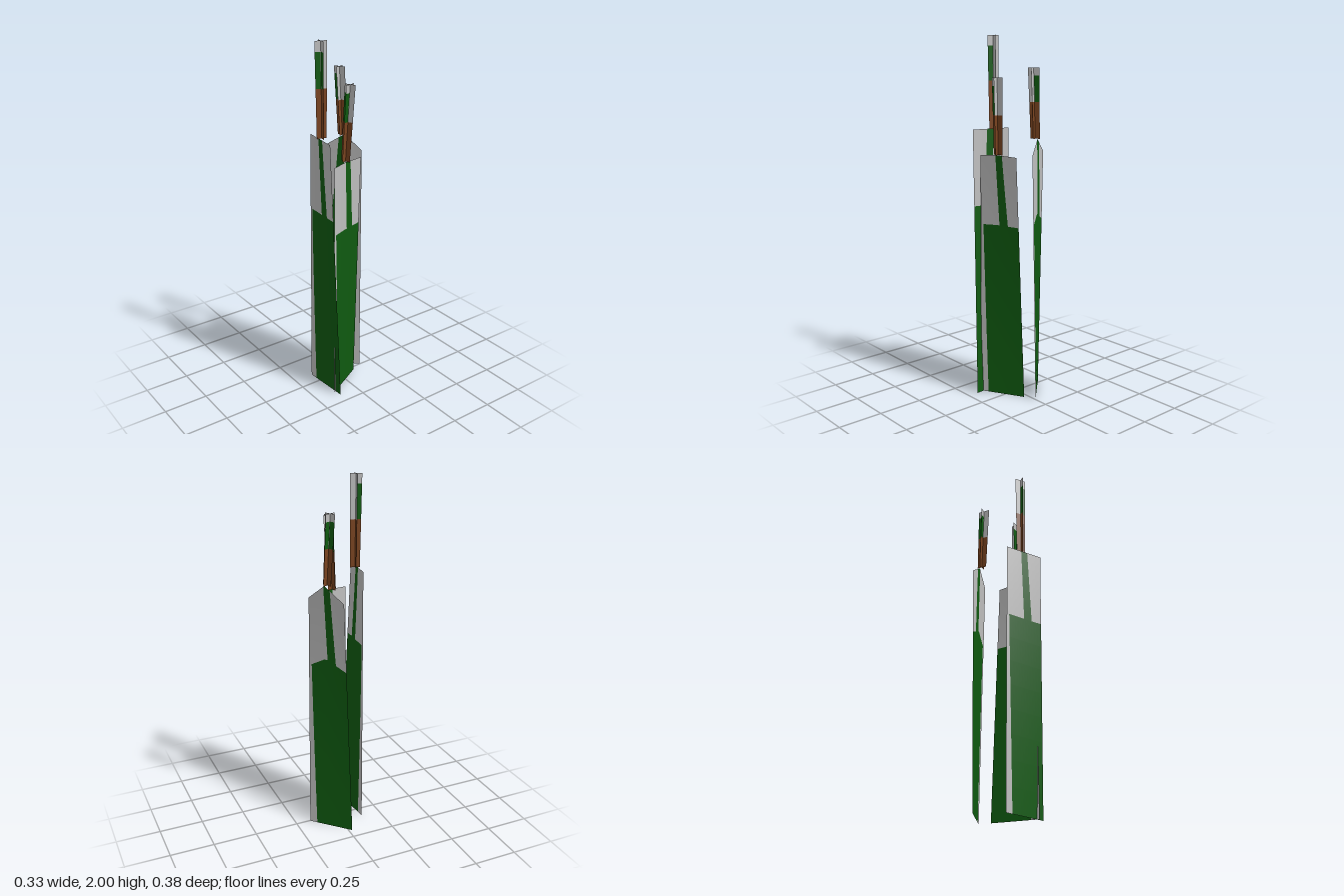
import * as THREE from 'three';

const flat = (name, color) => {
  const m = new THREE.MeshStandardMaterial({ color, side: THREE.DoubleSide });
  m.name = name;
  return m;
};

// Patch of a card surface between two edge curves tA(v) and tB(v), for v in [v0, v1]
function patch(surface, tA, tB, v0, v1, nt = 6, nv = 8) {
  const pos = [], idx = [];
  for (let j = 0; j <= nv; j++) {
    const v = v0 + (v1 - v0) * j / nv;
    for (let i = 0; i <= nt; i++) {
      const t = tA(v) + (tB(v) - tA(v)) * i / nt;
      pos.push(...surface(t, v));
      if (i < nt && j < nv) {
        const a = j * (nt + 1) + i, b = a + nt + 1;
        idx.push(a, a + 1, b + 1, a, b + 1, b);
      }
    }
  }
  const g = new THREE.BufferGeometry();
  g.setAttribute('position', new THREE.Float32BufferAttribute(pos, 3));
  g.setIndex(idx);
  g.computeVertexNormals();
  return g;
}

const mix = (a, b, t) => a + (b - a) * t;
const at = (c) => () => c;
const ramp = (v0, a, v1, b) => (v) => mix(a, b, (v - v0) / (v1 - v0));

// Each reed: twisted leaf card (bottom and top edges as [x, z]) and a leaning head of two crossed cards
const REEDS = [
  { name: 'tallReed', height: 1.5, peak: 0, top: 2.0,
    low: [[-0.135, -0.077], [-0.115, 0.19]], high: [[-0.133, -0.06], [-0.165, 0.165]],
    headLow: [-0.133, 0.045], headHigh: [-0.135, 0.045], dirs: [[0.97, 0.25], [0.2, -0.98]] },
  { name: 'frontReed', height: 1.365, peak: 0.006, top: 1.78,
    low: [[-0.13, 0.15], [0.1, 0.025]], high: [[-0.125, 0.145], [0.095, 0.08]],
    headLow: [-0.025, 0.105], headHigh: [-0.01, 0.122], dirs: [[0.96, -0.28], [0.32, 0.95]] },
  { name: 'backReed', height: 1.375, peak: 0.08, top: 1.83,
    low: [[0.165, -0.002], [-0.02, -0.19]], high: [[0.15, 0.015], [0.03, -0.173]],
    headLow: [0.08, -0.068], headHigh: [0.062, -0.07], dirs: [[-0.91, 0.41], [0.42, 0.91]] },
];

export function createModel() {
  const green = flat('leafGreen', 0x0f5a10);
  const grey = flat('paleGrey', 0xbebebe);
  const brown = flat('seedBrown', 0x7a4420);
  const model = new THREE.Group();
  model.name = 'reeds';

  for (const r of REEDS) {
    const reed = new THREE.Group();
    reed.name = r.name;
    model.add(reed);
    const add = (name, mat, ...args) => {
      const m = new THREE.Mesh(patch(...args), mat);
      m.name = name;
      reed.add(m);
    };

    // Leaf card, with its top edge raised around the stem
    const leaf = (t, v) => {
      const lift = t < 0.45 ? t / 0.45 : (1 - t) / 0.55;
      const p = [0, 1].map((k) => mix(mix(r.low[0][k], r.low[1][k], t), mix(r.high[0][k], r.high[1][k], t), v));
      return [p[0], (r.height + r.peak * lift) * v, p[1]];
    };
    const S = 0.72;
    const margin = ramp(0, 0.17, S, 0.07);
    const stemA = ramp(S, 0.5, 1, 0.42), stemB = ramp(S, 0.72, 1, 0.6);
    add('leafMargin', grey, leaf, at(0), margin, 0, S);
    add('leafBlade', green, leaf, margin, at(1), 0, S, 20);
    add('leafUpperInner', grey, leaf, at(0), stemA, S, 1);
    add('stem', green, leaf, stemA, stemB, S, 1);
    add('leafUpperOuter', grey, leaf, stemB, at(1), S, 1);

    // Head: two crossed cards, brown below, green spike and pale border above
    const base = r.height + r.peak;
    for (const d of r.dirs) {
      const head = (t, v) => {
        const w = mix(0.054, 0.066, v) * (t - 0.5);
        return [mix(r.headLow[0], r.headHigh[0], v) + d[0] * w, mix(base, r.top, v),
          mix(r.headLow[1], r.headHigh[1], v) + d[1] * w];
      };
      add('seedHead', brown, head, at(0), at(1), 0, 0.52, 2, 2);
      add('spike', green, head, at(0), at(0.48), 0.52, 0.89, 2, 2);
      add('spikeBorder', grey, head, at(0.48), at(1), 0.52, 0.89, 2, 2);
      add('headTip', grey, head, at(0), at(1), 0.89, 1, 2, 1);
    }
  }
  return model;
}
